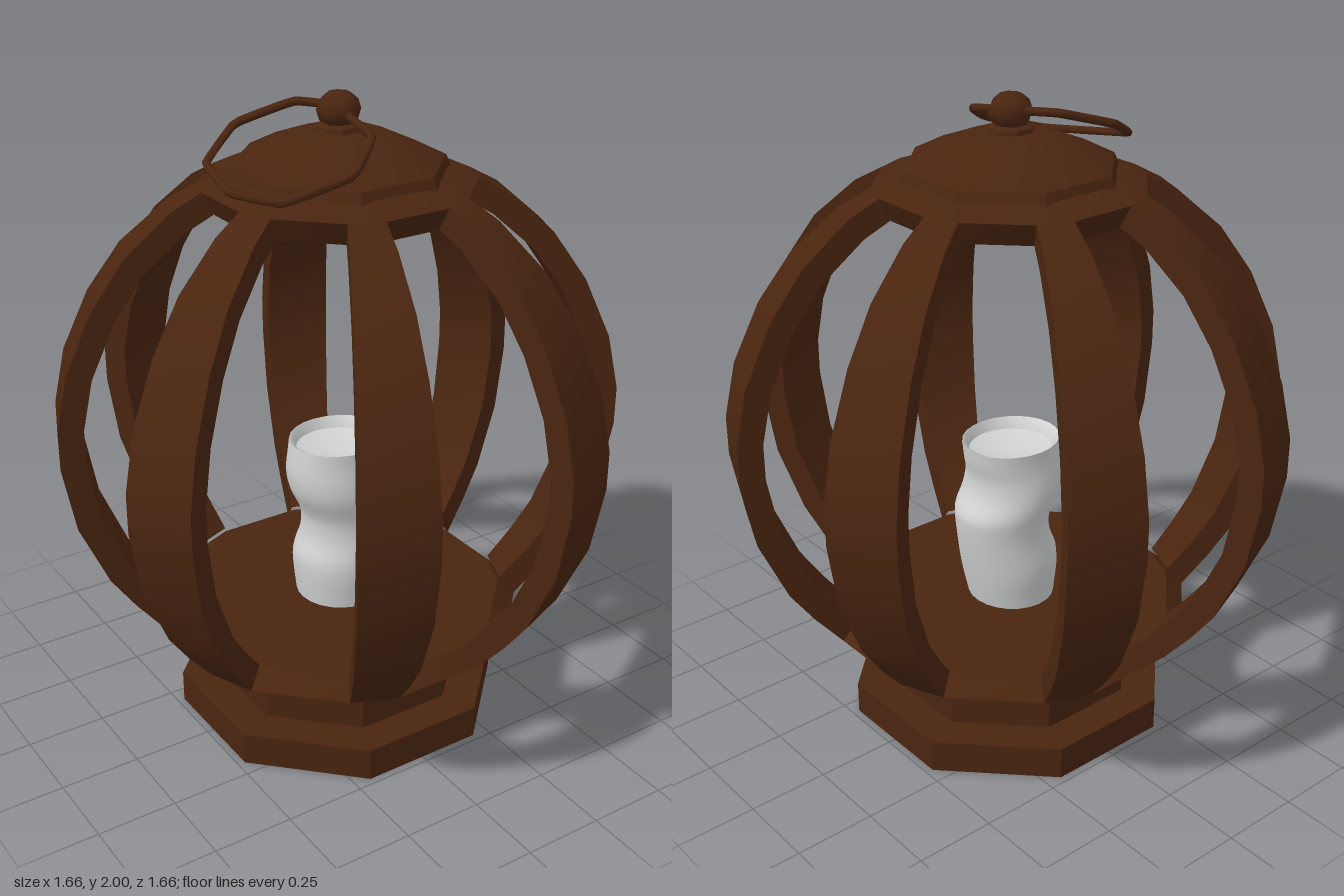
import * as THREE from 'three';
import { toCreasedNormals } from 'three/addons/utils/BufferGeometryUtils.js';

const rad = THREE.MathUtils.degToRad;
const polar = (r, y, deg) => [r * Math.cos(rad(deg)), y, r * Math.sin(rad(deg))];

// Skin a stack of closed rings (angle increasing, rings going upward).
function skin(rings, crease) {
  const n = rings[0].length, index = [];
  for (let i = 0; i < rings.length - 1; i++) {
    for (let j = 0; j < n; j++) {
      const a = i * n + j, c = i * n + (j + 1) % n, b = a + n, d = c + n;
      index.push(a, b, c, c, b, d);
    }
  }
  const g = new THREE.BufferGeometry();
  g.setAttribute('position', new THREE.Float32BufferAttribute(rings.flat(2), 3));
  g.setIndex(index);
  return toCreasedNormals(g, crease);
}

// Eight regular corners, and sixteen corners alternating narrow and wide sides.
const EIGHT = [], SIXTEEN = [];
for (let k = 0; k < 8; k++) {
  const mid = 22.5 + 45 * k;
  EIGHT.push(mid);
  SIXTEEN.push(mid - 7.5, mid + 7.5);
}
const prism = (profile, angles, crease = 0.5) =>
  skin(profile.map(([r, y]) => angles.map(a => polar(r, y, a))), crease);

export function createModel() {
  const wood = new THREE.MeshStandardMaterial({ color: 0x4a2510 });
  wood.name = 'darkBrown';
  const wax = new THREE.MeshStandardMaterial({ color: 0xcfd2d1 });
  wax.name = 'paleGrey';

  const model = new THREE.Group();
  model.name = 'lantern';
  const add = (name, geometry, material = wood, parent = model) => {
    const mesh = new THREE.Mesh(geometry, material);
    mesh.name = name;
    parent.add(mesh);
    return mesh;
  };

  // Stepped foot
  add('base', prism([[0, 0], [0.517, 0], [0.517, 0.105], [0, 0.105]], EIGHT));
  add('neck', prism([[0, 0.1], [0.4, 0.1], [0.4, 0.21], [0, 0.21]], EIGHT));

  // Bowl with bevelled rim and flat floor
  add('bowl', prism([[0, 0.2], [0.384, 0.2], [0.575, 0.33], [0.52, 0.38], [0, 0.38]], SIXTEEN));

  // Curved bars, wedge shaped in section
  const outer = [[0.575, 0.33], [0.66, 0.43], [0.735, 0.534], [0.822, 0.73], [0.859, 0.937],
    [0.859, 1.06], [0.822, 1.233], [0.739, 1.418], [0.636, 1.566], [0.495, 1.69], [0.404, 1.74]];
  const barGeometry = skin(outer.map(([r, y]) => {
    const ri = r * 0.91, yi = 1 + (y - 1) * 0.91;
    return [polar(r, y, -7.5), polar(r, y, 7.5), polar(ri, yi, 7.5), polar(ri, yi, -7.5)];
  }), 0.5);
  const bars = new THREE.Group();
  bars.name = 'bars';
  model.add(bars);
  EIGHT.forEach((deg, i) => {
    add('bar' + (i + 1), barGeometry, wood, bars).rotation.y = rad(deg);
  });

  // Roof ring and overhanging cap
  add('roofRing', prism([[0, 1.67], [0.368, 1.67], [0.404, 1.74], [0.3, 1.775], [0, 1.775]], SIXTEEN));
  add('roofCap', prism([[0, 1.75], [0.333, 1.758], [0.316, 1.797], [0.22, 1.845],
    [0.11, 1.885], [0, 1.89]], EIGHT));

  // Finial
  add('finialCollar', prism([[0, 1.875], [0.07, 1.878], [0.065, 1.9], [0.04, 1.91], [0, 1.92]], EIGHT));
  const knob = add('finialKnob', new THREE.SphereGeometry(0.065, 8, 6));
  knob.position.y = 1.944;
  knob.scale.y = 0.86;
  knob.rotation.y = rad(22.5);

  // Wire handle, fallen to one side
  const wire = [[0, 1.95, -0.03], [-0.07, 1.95, -0.125], [-0.24, 1.9, -0.17], [-0.385, 1.83, -0.08],
    [-0.41, 1.795, 0.09], [-0.33, 1.79, 0.235], [-0.14, 1.845, 0.285], [-0.02, 1.91, 0.195], [0, 1.94, 0.03]];
  const path = new THREE.CatmullRomCurve3(wire.map(p => new THREE.Vector3(...p)), false, 'catmullrom', 0.12);
  add('handle', new THREE.TubeGeometry(path, 48, 0.013, 6));

  // Melted candle: rows of height, left edge, right edge
  const rows = [[0.38, -0.135, 0.135], [0.45, -0.143, 0.152], [0.53, -0.145, 0.168], [0.59, -0.122, 0.178],
    [0.66, -0.117, 0.187], [0.70, -0.13, 0.186], [0.76, -0.158, 0.15], [0.82, -0.168, 0.14],
    [0.87, -0.165, 0.15], [0.92, -0.158, 0.156]];
  const outline = new THREE.CatmullRomCurve3(rows.map(([y, l, r]) => new THREE.Vector3(l, y, r)));
  const candleRing = (l, y, r, depth, s = 1) => Array.from({ length: 24 }, (_, j) => {
    const a = j / 24 * Math.PI * 2;
    return [(l + r) / 2 + s * (r - l) / 2 * Math.cos(a), y, s * depth * Math.sin(a)];
  });
  const rings = [];
  for (let i = 0; i <= 27; i++) {
    const p = outline.getPoint(i / 27);
    rings.push(candleRing(p.x, p.y, p.z, 0.147 + 0.006 * Math.cos((p.y - 0.5) * 24)));
  }
  // Sunken top
  for (const [s, y] of [[0.93, 0.915], [0.85, 0.885], [0.5, 0.87], [0, 0.868]]) {
    rings.push(candleRing(-0.158, y, 0.156, 0.15, s));
  }
  add('candle', skin(rings, 0.9), wax);

  return model;
}
